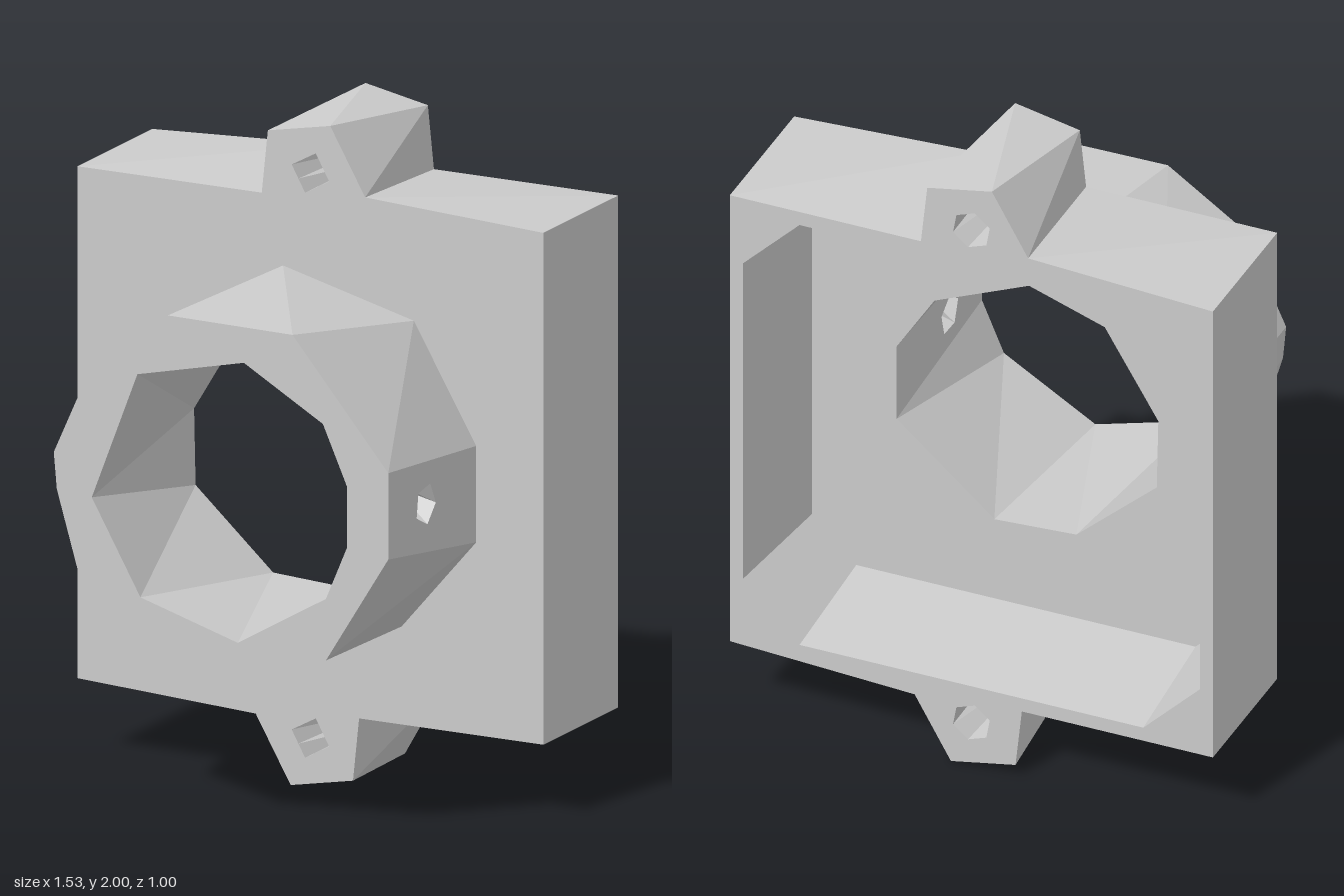
import * as THREE from 'three';
import { mergeGeometries } from 'three/addons/utils/BufferGeometryUtils.js';

const FRONT = 0.5, PLATE = -0.04, FLOOR = -0.11, BACK = -0.5;
const SIDE_OUT = 0.545, SIDE_IN = 0.41;

// Loops are lists of [x, y], counter-clockwise seen from +z.
const ring = (cx, cy, r, n, turn) => Array.from({ length: n }, (_, i) => {
  const a = turn + (i / n) * Math.PI * 2;
  return [cx + r * Math.cos(a), cy + r * Math.sin(a)];
});
const mirrorX = (loop) => loop.map(([x, y]) => [-x, y]);
const middle = (p, q) => [(p[0] + q[0]) / 2, (p[1] + q[1]) / 2];

function geometryFrom(positions) {
  const g = new THREE.BufferGeometry();
  g.setAttribute('position', new THREE.Float32BufferAttribute(positions, 3));
  g.computeVertexNormals();
  return g;
}

// Side walls between a front loop and a back loop; inward = wall of a hole,
// skip = edge left open, crossed = edges split along the other diagonal
function wall(a, za, b, zb, { inward = false, skip = -1, crossed = [] } = {}) {
  const out = [];
  a.forEach((p, i) => {
    if (i === skip) return;
    const j = (i + 1) % a.length;
    const ai = [...p, za], aj = [...a[j], za], bi = [...b[i], zb], bj = [...b[j], zb];
    const tris = crossed.includes(i) ? [[ai, bi, aj], [bi, bj, aj]] : [[ai, bi, bj], [ai, bj, aj]];
    for (const [u, v, w] of tris) out.push(...u, ...(inward ? w : v), ...(inward ? v : w));
  });
  return geometryFrom(out);
}

// Flat face with holes, facing +z, or -z when flipped
function face(outer, holes, z, flip = false) {
  const v = (loop) => loop.map(([x, y]) => new THREE.Vector2(x, y));
  const shape = new THREE.Shape(v(outer));
  holes.forEach((h) => shape.holes.push(new THREE.Path(v(h))));
  const p = new THREE.ShapeGeometry(shape).toNonIndexed().attributes.position;
  const out = [];
  for (let i = 0; i < p.count; i += 3) {
    for (const k of flip ? [0, 2, 1] : [0, 1, 2]) out.push(p.getX(i + k), p.getY(i + k), z);
  }
  return geometryFrom(out);
}

// Square with cut corners, centred on y = 1
function cutSquare(s, c) {
  const q = s - c;
  return [[s, -q], [s, q], [q, s], [-q, s], [-s, q], [-s, -q], [-q, -s], [q, -s]]
    .map(([x, y]) => [x, y + 1]);
}

export function createModel() {
  const group = new THREE.Group();
  const material = new THREE.MeshStandardMaterial({ color: 0xcccccc, flatShading: true });
  const add = (name, ...parts) => {
    const mesh = new THREE.Mesh(mergeGeometries(parts), material);
    mesh.name = name;
    group.add(mesh);
  };

  // Housing outline with the two lugs: half a turn maps it onto itself
  const half = [[0.766, 1.77], [0.18, 1.8], [0.065, 2], [-0.14, 1.96], [-0.16, 1.77], [-0.766, 1.77]];
  const outlineFront = [...half, ...half.map(([x, y]) => [-x, 2 - y])];
  // The back outline is the mirrored front one, matched corner to corner
  const mirrored = mirrorX(outlineFront).reverse();
  const outlineBack = [...mirrored.slice(6), ...mirrored.slice(0, 6)];

  // Barrel loops
  const outerFront = [[SIDE_OUT, 0.89], [SIDE_OUT, 1.15], [0.23, 1.525], [-0.18, 1.53], [-0.42, 1.37],
    [-0.555, 1.07], [-0.545, 0.96], [-0.46, 0.67], [-0.08, 0.445], [0.34, 0.56]];
  const outerBack = [[SIDE_OUT, 0.81], [SIDE_OUT, 1.1], [0.34, 1.45], [-0.09, 1.56], [-0.41, 1.37],
    [-0.555, 1.07], [-0.54, 0.9], [-0.37, 0.58], [-0.08, 0.445], [0.3, 0.525]];
  const boreFront = [[SIDE_IN, 0.91], [SIDE_IN, 1.09], [0.33, 1.27], [0.07, 1.42], [-0.28, 1.34],
    [-0.43, 0.95], [-0.27, 0.67], [0.05, 0.575], [0.34, 0.745]];
  const boreBack = [[SIDE_IN, 0.86], [SIDE_IN, 1.11], [0.29, 1.3], [-0.01, 1.43], [-0.25, 1.35],
    [-0.42, 1.07], [-0.415, 0.84], [-0.16, 0.61], [0.1, 0.595]];

  // Cavity open at the back
  const cavityRim = cutSquare(0.725, 0.18);
  const cavityFloor = cutSquare(0.678, 0.14);

  // Screw holes in the lugs: square in front, six-sided at the back
  const lugHoles = [1.85, 0.15].map((y) => {
    const [p, q, r, s] = ring(0, y, 0.064, 4, -0.28);
    return { front: [p, middle(p, q), q, r, middle(r, s), s], back: ring(0, y, 0.062, 6, -0.35) };
  });

  add('housing',
    wall(outlineFront, PLATE, outlineBack, BACK, { crossed: [0, 4, 6, 10] }),
    face(outlineFront, [outerBack, ...lugHoles.map((h) => h.front)], PLATE),
    face(outlineBack, [cavityRim, ...lugHoles.map((h) => h.back)], BACK, true));
  add('cavity',
    wall(cavityFloor, FLOOR, cavityRim, BACK, { inward: true }),
    face(cavityFloor, [boreBack], FLOOR, true));
  lugHoles.forEach((h, i) => add(i ? 'lowerLugHole' : 'upperLugHole',
    wall(h.front, PLATE, h.back, BACK, { inward: true })));

  // Barrel; the flat facets on the left side carry the set screw hole
  const screwOuter = ring(-0.27, 1, 0.063, 5, -1.4);
  const screwInner = ring(-0.27, 1, 0.063, 5, -0.9);
  const facet = (front, back, zBack) => [
    [-FRONT, front[0][1]], [-zBack, back[0][1]], [-zBack, back[1][1]], [-FRONT, front[1][1]]];
  const turn = (g) => g.rotateY(Math.PI / 2);
  add('barrel',
    wall(outerFront, FRONT, outerBack, PLATE, { skip: 0 }),
    face(outerFront, [boreFront], FRONT),
    turn(face(facet(outerFront, outerBack, PLATE), [screwOuter], SIDE_OUT)));
  add('bore',
    wall(boreFront, FRONT, boreBack, FLOOR, { inward: true, skip: 0 }),
    turn(face(facet(boreFront, boreBack, FLOOR), [screwInner], SIDE_IN, true)));
  add('setScrewHole', turn(wall(screwOuter, SIDE_OUT, screwInner, SIDE_IN, { inward: true })));

  return group;
}
